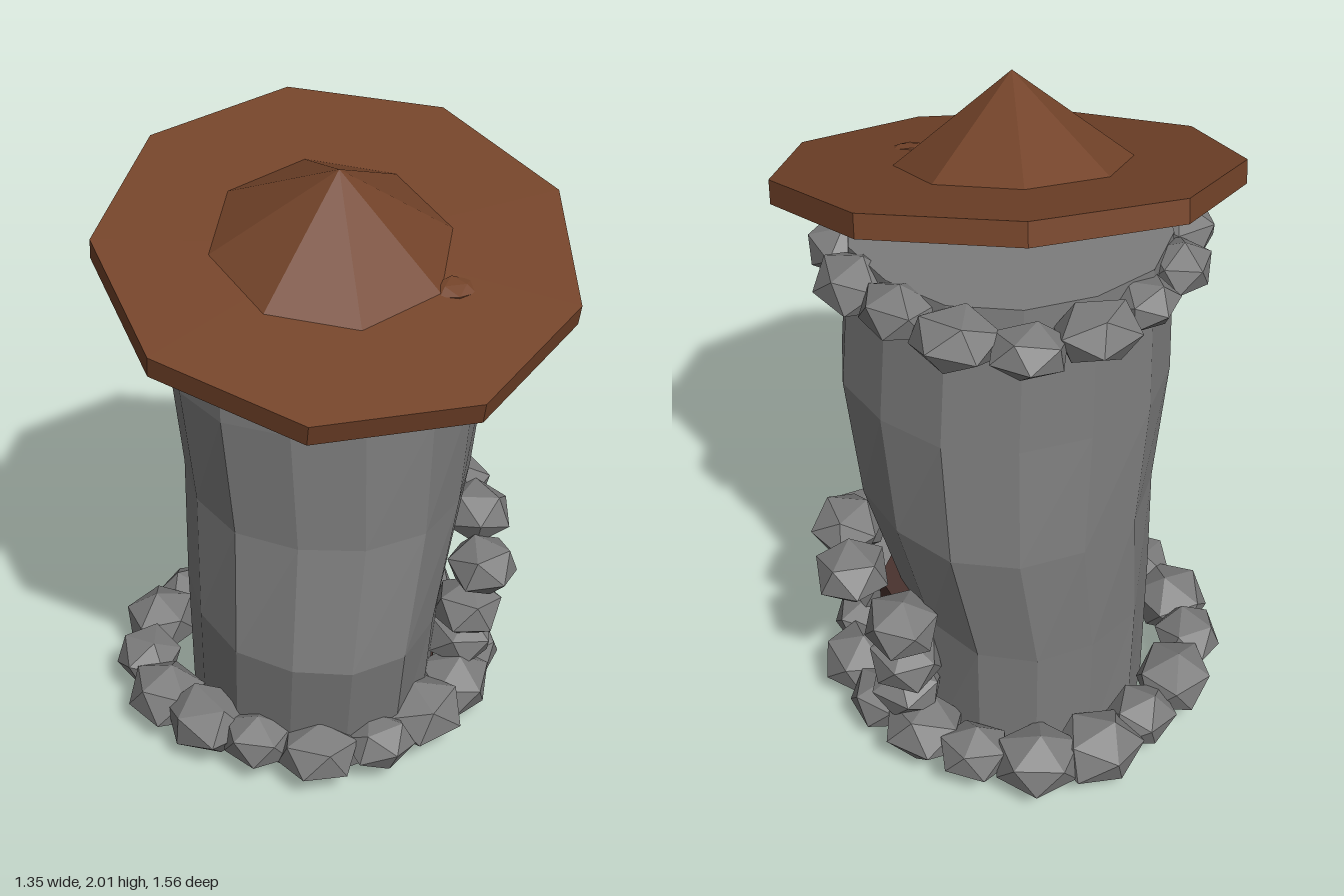
import * as THREE from 'three';

const mat = (color) => new THREE.MeshStandardMaterial({ color, flatShading: true });
const grey = mat(0x7c7c7c);
const brown = mat(0x734329);
const darkWood = mat(0x4a332e);

// Seeded random numbers for stone variation
function seeded(seed) {
  let s = seed;
  return () => (s = (s * 16807) % 2147483647) / 2147483647;
}

function add(parent, name, geometry, material, x = 0, y = 0, z = 0) {
  const mesh = new THREE.Mesh(geometry, material);
  mesh.name = name;
  mesh.position.set(x, y, z);
  parent.add(mesh);
  return mesh;
}

const rand = seeded(41);

// Faceted boulder, squashed vertically; its local z runs along the wall
function stone(parent, name, x, y, z, [out, up, along], turn) {
  const g = new THREE.IcosahedronGeometry(1, 0);
  g.rotateX(rand() * 6).rotateY(rand() * 6);
  g.scale(out, up, along);
  add(parent, name, g, grey, x, y, z).rotation.y = turn;
}

// Ring of stones around the tower, tucked in on the diagonals; angle 0 faces the front
function stoneRing(name, count, y, rx, rz, cx, cz, size, skip = 0) {
  const ring = new THREE.Group();
  ring.name = name;
  for (let i = 0; i < count; i++) {
    const a = ((i + 0.5) / count) * Math.PI * 2;
    if (Math.cos(a) > 1 - skip) continue;
    const k = 0.92 + rand() * 0.25;
    const r = 1 - 0.07 * Math.sin(2 * a) ** 2;
    stone(ring, name + 'Stone', cx + rx * r * Math.sin(a), y + (rand() - 0.5) * 0.02, cz + rz * r * Math.cos(a),
      size.map((v) => v * k), a - Math.PI / 2);
  }
  return ring;
}

// Crooked tower: each row is [y, centre x, centre z, radius x, radius z]
function towerGeometry() {
  const rows = [
    [0, -0.03, -0.1, 0.39, 0.465],
    [0.46, -0.03, -0.055, 0.4, 0.515],
    [0.86, 0.025, -0.1, 0.445, 0.49],
    [1.25, 0.025, -0.085, 0.485, 0.465],
    [1.7, 0.01, -0.075, 0.46, 0.44],
  ];
  const g = new THREE.CylinderGeometry(1, 1, 4, 14, 4);
  const p = g.attributes.position;
  for (let i = 0; i < p.count; i++) {
    const [y, cx, cz, rx, rz] = rows[Math.round(p.getY(i) + 2)];
    const a = Math.atan2(p.getX(i), p.getZ(i));
    const wobble = 1 + 0.015 * Math.sin(5 * a);
    p.setXYZ(i, cx + p.getX(i) * rx * wobble, y, cz + p.getZ(i) * rz * wobble);
  }
  g.computeVertexNormals();
  return g;
}

export function createModel() {
  const model = new THREE.Group();
  model.name = 'stoneTower';
  add(model, 'towerWall', towerGeometry(), grey);

  // Stone rings at the foot and under the roof
  model.add(stoneRing('baseRing', 17, 0.13, 0.54, 0.54, -0.025, -0.125, [0.115, 0.095, 0.13]));
  model.add(stoneRing('topRing', 15, 1.64, 0.48, 0.5, 0.005, -0.1, [0.1, 0.075, 0.115], 0.185));

  // Doorway on the left side with an arch of stones following the wall
  add(model, 'door', new THREE.CylinderGeometry(0.19, 0.19, 0.41, 8).rotateY(Math.PI / 2), darkWood, 0.24, 0.255, -0.16);
  const arch = new THREE.Group();
  arch.name = 'doorArch';
  const archStones = [
    [0.43, 0.24, 0.08, 0.3], [0.45, 0.35, 0.08, 0.3], [0.5, 0.5, 0.07, 0.3], [0.52, 0.61, -0.075, 0],
    [0.51, 0.6, -0.275, 0], [0.37, 0.5, -0.42, -0.3], [0.36, 0.35, -0.41, -0.3], [0.36, 0.24, -0.41, -0.3],
  ];
  for (const [x, y, z, lean] of archStones) stone(arch, 'archStone', x, y, z, [0.12, 0.095, 0.13], -lean);
  model.add(arch);

  // Tilted hat-like roof: nine-sided brim and eight-sided peak
  const roof = new THREE.Group();
  roof.name = 'roof';
  roof.position.set(0, 1.72, 0.155);
  roof.rotation.x = 0.297;
  add(roof, 'roofBrim', new THREE.CylinderGeometry(0.685, 0.685, 0.07, 9).rotateY(Math.PI), [brown, brown, grey]);
  add(roof, 'roofPeak', new THREE.ConeGeometry(0.36, 0.27, 8), brown, -0.02, 0.16, -0.01);
  // Small chip lying on the brim
  add(roof, 'roofChip', new THREE.IcosahedronGeometry(1, 0).scale(0.06, 0.014, 0.05), brown, 0.27, 0.033, 0.22);
  model.add(roof);

  return model;
}
